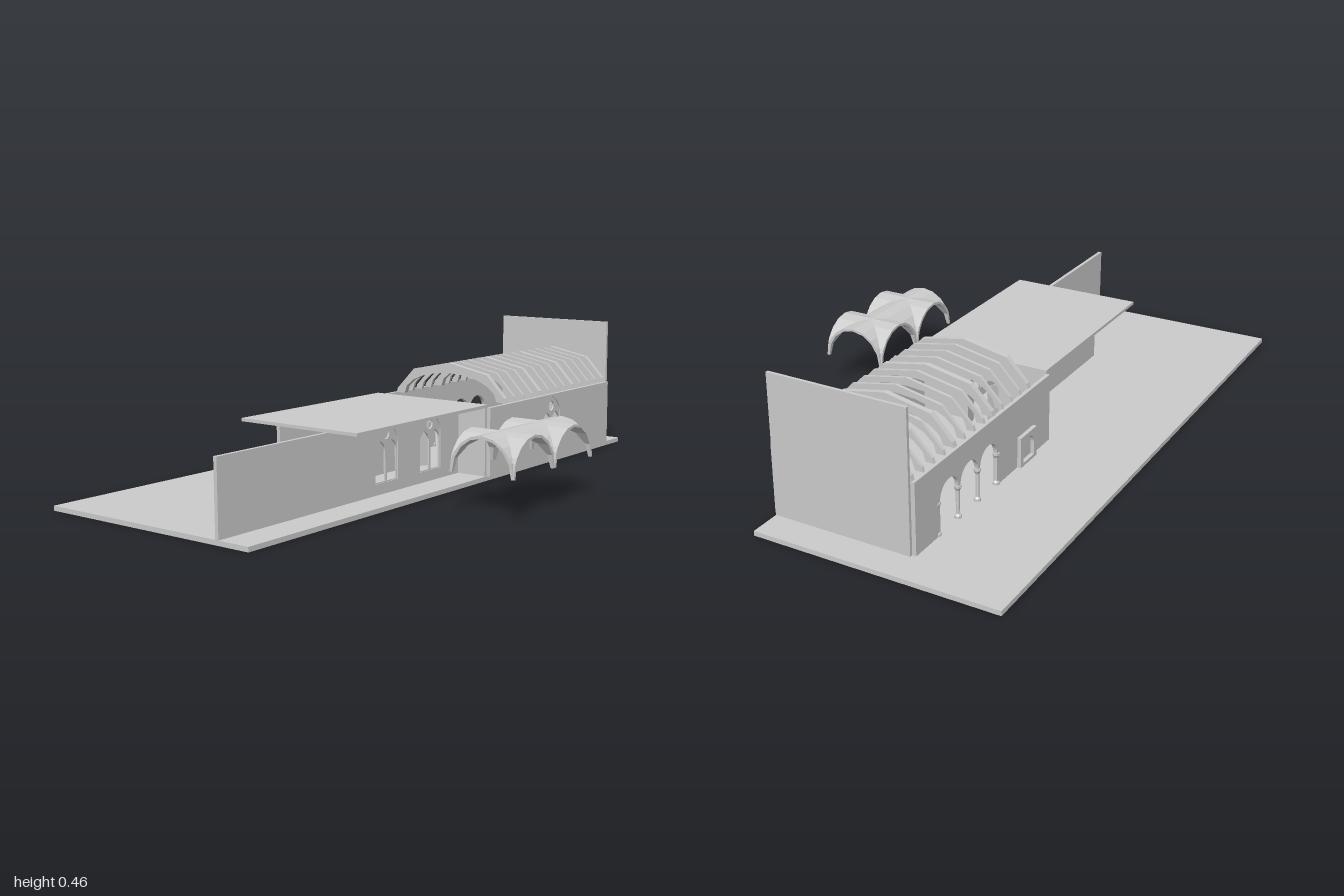
import * as THREE from 'three';

const material = new THREE.MeshStandardMaterial({ color: 0xcccccc, flatShading: true, side: THREE.DoubleSide });
const FLOOR = 0.015, EAVE = 0.24;

export function createModel() {
  const model = new THREE.Group();
  model.name = 'vaultedHall';

  const add = (name, geometry, parent = model) => {
    const mesh = new THREE.Mesh(geometry, material);
    mesh.name = name;
    parent.add(mesh);
    return mesh;
  };
  const group = (name) => {
    const g = new THREE.Group();
    g.name = name;
    model.add(g);
    return g;
  };
  // Box given by its extents
  const box = (name, x0, x1, y0, y1, z0, z1, parent) =>
    add(name, new THREE.BoxGeometry(x1 - x0, y1 - y0, z1 - z0)
      .translate((x0 + x1) / 2, (y0 + y1) / 2, (z0 + z1) / 2), parent);
  // Plate drawn in x-y, from z0 to z1
  const plateZ = (name, shape, z0, z1, parent) =>
    add(name, new THREE.ExtrudeGeometry(shape, { depth: z1 - z0, bevelEnabled: false, curveSegments: 8 })
      .translate(0, 0, z0), parent);
  // Plate drawn in z-y, from x0 to x1
  const plateX = (name, shape, x0, x1, parent) =>
    add(name, new THREE.ExtrudeGeometry(shape, { depth: x1 - x0, bevelEnabled: false, curveSegments: 8 })
      .rotateY(-Math.PI / 2).translate(x1, 0, 0), parent);
  const polygon = (pts) => new THREE.Shape(pts.map(([x, y]) => new THREE.Vector2(x, y)));
  const rectangle = (x0, x1, y0, y1) => polygon([[x0, y0], [x1, y0], [x1, y1], [x0, y1]]);
  // Pointed-arch outline
  const lancet = (c, half, sill, spring, top) => {
    const s = new THREE.Shape();
    s.moveTo(c - half, sill);
    s.lineTo(c + half, sill);
    s.lineTo(c + half, spring);
    s.quadraticCurveTo(c + half, spring + (top - spring) * 0.65, c, top);
    s.quadraticCurveTo(c - half, spring + (top - spring) * 0.65, c - half, spring);
    s.closePath();
    return s;
  };

  // Wall with twin-light tracery windows
  const windowWall = (name, x0, x1, z0, z1, centres) => {
    const g = group(name);
    const wall = rectangle(x0, x1, FLOOR, EAVE);
    for (const c of centres) {
      wall.holes.push(lancet(c, 0.055, 0.05, 0.165, 0.234));
      const tracery = lancet(c, 0.055, 0.05, 0.165, 0.234);
      for (const s of [-1, 1]) {
        tracery.holes.push(lancet(c + s * 0.028, 0.024, 0.053, 0.145, 0.178));
      }
      const oculus = new THREE.Path();
      oculus.absarc(c, 0.199, 0.017, 0, Math.PI * 2, false);
      tracery.holes.push(oculus);
      const zm = (z0 + z1) / 2;
      plateZ('windowTracery', tracery, zm - 0.003, zm + 0.003, g);
    }
    plateZ('wall', wall, z0, z1, g);
  };

  // Ground slab, gable wall and flat roof
  box('groundSlab', -1, 1, 0, FLOOR, -0.585, 0.2);
  box('endWall', 0.89, 0.9, FLOOR, 0.46, -0.25, 0.2);
  box('flatRoof', -0.555, 0.11, EAVE, 0.25, -0.25, 0.2);

  // Long walls
  windowWall('hallFrontWall', 0.11, 0.89, 0.197, 0.21, [0.495]);
  windowWall('wingFrontWall', -1, 0.1, 0.08, 0.092, [-0.28, -0.055]);
  box('wingBackWall', -0.555, 0.1, FLOOR, EAVE, -0.106, -0.094);

  // Cross wall with doorway and two open door leaves
  plateX('crossWall', polygon([
    [-0.25, FLOOR], [-0.08, FLOOR], [-0.08, 0.17], [0.015, 0.17], [0.015, FLOOR],
    [0.197, FLOOR], [0.197, EAVE], [-0.25, EAVE],
  ]), 0.1, 0.11);
  for (const [z, turn] of [[-0.08, -0.4], [0.015, 0.12]]) {
    const leaf = add('doorLeaf', new THREE.BoxGeometry(0.042, 0.153, 0.004).translate(0.021, 0, 0));
    leaf.position.set(0.11, FLOOR + 0.0765, z);
    leaf.rotation.y = turn;
  }

  // Back wall with a three-bay arcade
  const arcade = new THREE.Shape();
  arcade.moveTo(0.11, FLOOR);
  arcade.lineTo(0.445, FLOOR);
  for (const c of [0.495, 0.605, 0.715]) {
    arcade.lineTo(c - 0.05, 0.12);
    arcade.absarc(c, 0.12, 0.05, Math.PI, 0, true);
  }
  arcade.lineTo(0.765, FLOOR);
  arcade.lineTo(0.89, FLOOR);
  arcade.lineTo(0.89, EAVE);
  arcade.lineTo(0.11, EAVE);
  plateZ('arcadeWall', arcade, -0.263, -0.25);

  // Arcade columns, turned with base and capital
  const columnProfile = [[0, 0], [0.011, 0], [0.011, 0.008], [0.006, 0.014], [0.006, 0.088], [0.011, 0.098], [0.011, 0.105], [0, 0.105]]
    .map(([r, y]) => new THREE.Vector2(r, y));
  const columns = group('arcadeColumns');
  for (const x of [0.44, 0.55, 0.66, 0.77]) {
    add('column', new THREE.LatheGeometry(columnProfile, 8), columns).position.set(x, FLOOR, -0.2565);
  }

  // Arched surround on the back wall
  const surround = rectangle(0.22, 0.32, FLOOR, 0.115);
  const niche = new THREE.Path();
  niche.moveTo(0.235, 0.025);
  niche.lineTo(0.305, 0.025);
  niche.lineTo(0.305, 0.065);
  niche.absarc(0.27, 0.065, 0.035, 0, Math.PI, false);
  niche.closePath();
  surround.holes.push(niche);
  plateZ('archedSurround', surround, -0.276, -0.263);

  // Roof trusses: gambrel outside, arch inside; every fourth one is heavier
  const trusses = group('roofTrusses');
  const MID = -0.028;
  for (let i = 0; i <= 12; i++) {
    const main = i % 4 === 0;
    const w = main ? 0.009 : 0.005;
    const x = 0.227 + i * 0.0545;
    const rise = main ? 0.083 : 0.092;
    const span = main ? 0.19 : 0.2;
    const s = new THREE.Shape();
    s.moveTo(MID + span, EAVE);
    for (const [z, y] of [[0.225, EAVE], [0.22, 0.255], [0.15, 0.328], [0, 0.357], [-0.15, 0.328], [-0.22, 0.255], [-0.225, EAVE], [-span, EAVE]]) {
      s.lineTo(MID + z, y);
    }
    for (let k = 1; k < 10; k++) {
      const t = Math.PI * (1 - k / 10);
      s.lineTo(MID + span * Math.cos(t), EAVE + rise * Math.sin(t));
    }
    plateX(main ? 'mainTruss' : 'truss', s, x - w, x + w, trusses);
  }

  // Two groin-vault bays: crossing barrels, with a thin shell
  const vault = group('groinVault');
  const inner = 0.92, steps = 8;
  const us = [-1];
  for (let k = 0; k <= steps; k++) us.push(-inner * Math.cos(Math.PI * k / steps));
  us.push(1);
  const n = us.length;
  const arch = (u, r) => Math.sqrt(Math.max(0, 1 - (u / r) ** 2));
  const bay = (cx) => {
    const pos = [], idx = [];
    for (const [r, h] of [[1, 0.115], [inner, 0.107]]) {
      for (const v of us) for (const u of us) {
        pos.push(cx + u * 0.1112, 0.125 + h * Math.max(arch(u, r), arch(v, r)), 0.475 + v * 0.11);
      }
    }
    const at = (layer, j, i) => layer * n * n + j * n + i;
    for (let j = 0; j < n - 1; j++) for (let i = 0; i < n - 1; i++) {
      // Quads split along the groin
      const rising = (i < (n - 1) / 2) === (j < (n - 1) / 2);
      for (const layer of [0, 1]) {
        const [a, b, c, d] = [at(layer, j, i), at(layer, j + 1, i), at(layer, j + 1, i + 1), at(layer, j, i + 1)];
        const t = rising ? [a, b, c, a, c, d] : [a, b, d, b, c, d];
        idx.push(...(layer ? t.reverse() : t));
      }
    }
    // Rim joining the two skins
    const rim = (p, q) => idx.push(at(0, ...p), at(0, ...q), at(1, ...q), at(0, ...p), at(1, ...q), at(1, ...p));
    for (let k = 0; k < n - 1; k++) {
      rim([0, k + 1], [0, k]);
      rim([n - 1, k], [n - 1, k + 1]);
      rim([k, 0], [k + 1, 0]);
      rim([k + 1, n - 1], [k, n - 1]);
    }
    const g = new THREE.BufferGeometry();
    g.setAttribute('position', new THREE.Float32BufferAttribute(pos, 3));
    g.setIndex(idx);
    g.computeVertexNormals();
    return g;
  };
  for (const cx of [-0.224, -0.0015]) add('vaultBay', bay(cx), vault);

  // Centre the depth exactly
  return model;
}
